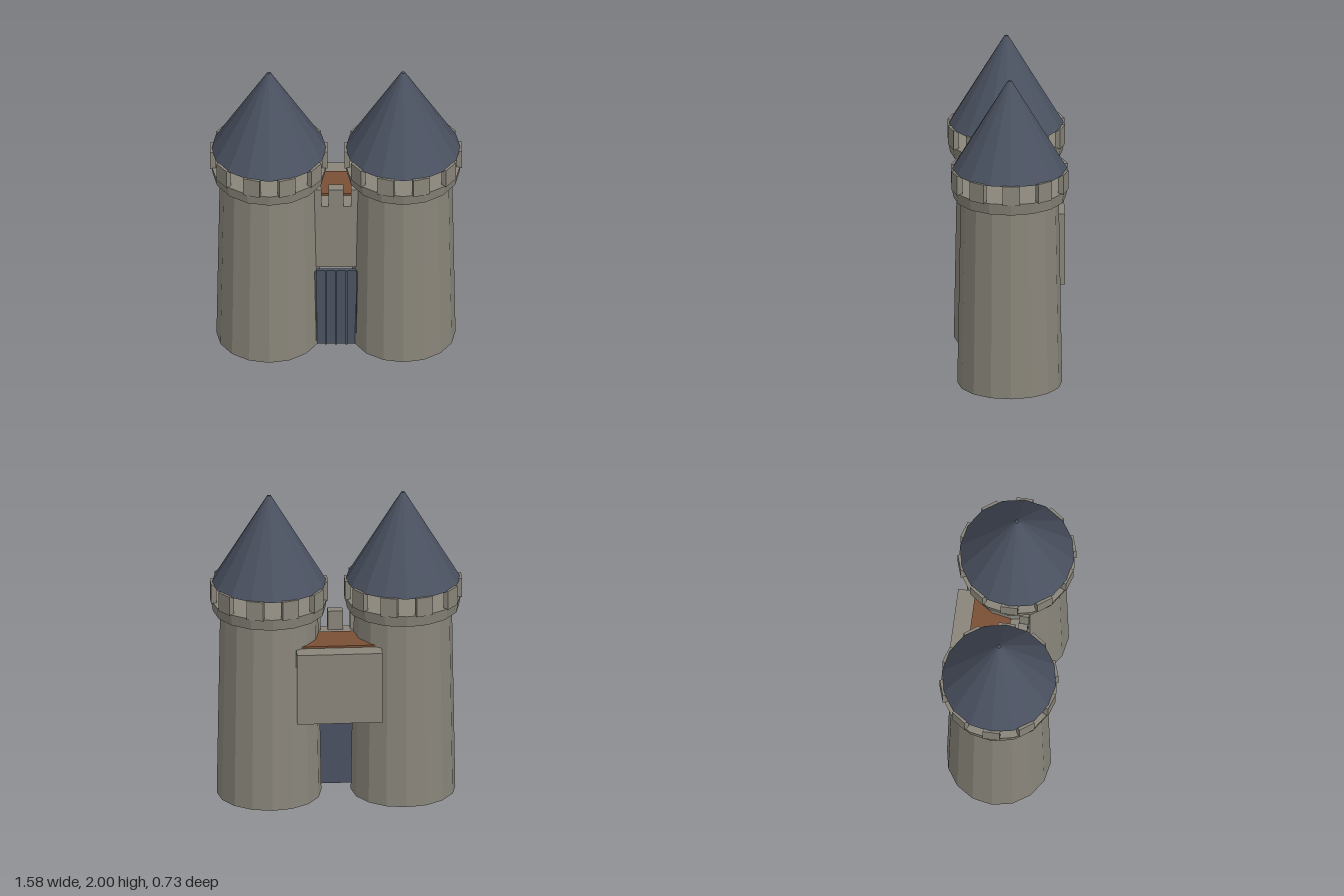
import * as THREE from 'three';

export function createModel() {
  const mat = (name, color) => {
    const m = new THREE.MeshStandardMaterial({ color, flatShading: true });
    m.name = name;
    return m;
  };
  const stone = mat('stone', 0x89857a);
  const slate = mat('slate', 0x4a5160);
  const wood = mat('wood', 0x7a5035);

  const add = (parent, name, geometry, material, x = 0, y = 0, z = 0) => {
    const mesh = new THREE.Mesh(geometry, material);
    mesh.name = name;
    mesh.position.set(x, y, z);
    parent.add(mesh);
    return mesh;
  };
  // box given by its extents on each axis
  const block = (parent, name, material, [x0, x1], [y0, y1], [z0, z1]) =>
    add(parent, name, new THREE.BoxGeometry(x1 - x0, y1 - y0, z1 - z0), material,
      (x0 + x1) / 2, (y0 + y1) / 2, (z0 + z1) / 2);
  // sixteen-sided drum between two heights
  const drum = (parent, name, material, rTop, rBottom, y0, y1) =>
    add(parent, name, new THREE.CylinderGeometry(rTop, rBottom, y1 - y0, 16), material, 0, (y0 + y1) / 2, 0);

  const model = new THREE.Group();
  model.name = 'gatehouse';

  // twin towers: tapered shaft, flared rim, ring of merlons, pointed roof
  for (const side of [-1, 1]) {
    const tower = new THREE.Group();
    tower.name = side > 0 ? 'leftTower' : 'rightTower';
    tower.position.x = side * 0.42;
    model.add(tower);
    drum(tower, 'towerShaft', stone, 0.307, 0.328, 0, 1.23);
    drum(tower, 'towerRim', stone, 0.365, 0.352, 1.23, 1.305);
    drum(tower, 'towerRoof', slate, 0.012, 0.36, 1.42, 2);
    for (let i = 0; i < 10; i++) {
      const a = (i / 10) * Math.PI * 2;
      const merlon = add(tower, 'towerMerlon', new THREE.BoxGeometry(0.035, 0.125, 0.107), stone,
        Math.cos(a) * 0.35, 1.3625, Math.sin(a) * 0.35);
      merlon.rotation.y = -a;
    }
  }

  // bridge between the towers, with a wooden walkway and front battlement
  block(model, 'bridge', stone, [-0.268, 0.268], [0.588, 1.055], [-0.35, 0.12]);
  block(model, 'walkway', wood, [-0.268, 0.268], [1.05, 1.068], [-0.24, 0.003]);
  for (const x of [-0.14, 0, 0.14])
    block(model, 'bridgeMerlon', stone, [x - 0.047, x + 0.047], [1.05, 1.18], [0.06, 0.12]);

  // gate leaf with raised vertical ribs
  block(model, 'gate', slate, [-0.135, 0.135], [0, 0.562], [0.1, 0.125]);
  for (const x of [-0.13, -0.065, 0, 0.065, 0.13])
    block(model, 'gateRib', slate, [x - 0.006, x + 0.006], [0, 0.562], [0.12, 0.136]);

  return model;
}
